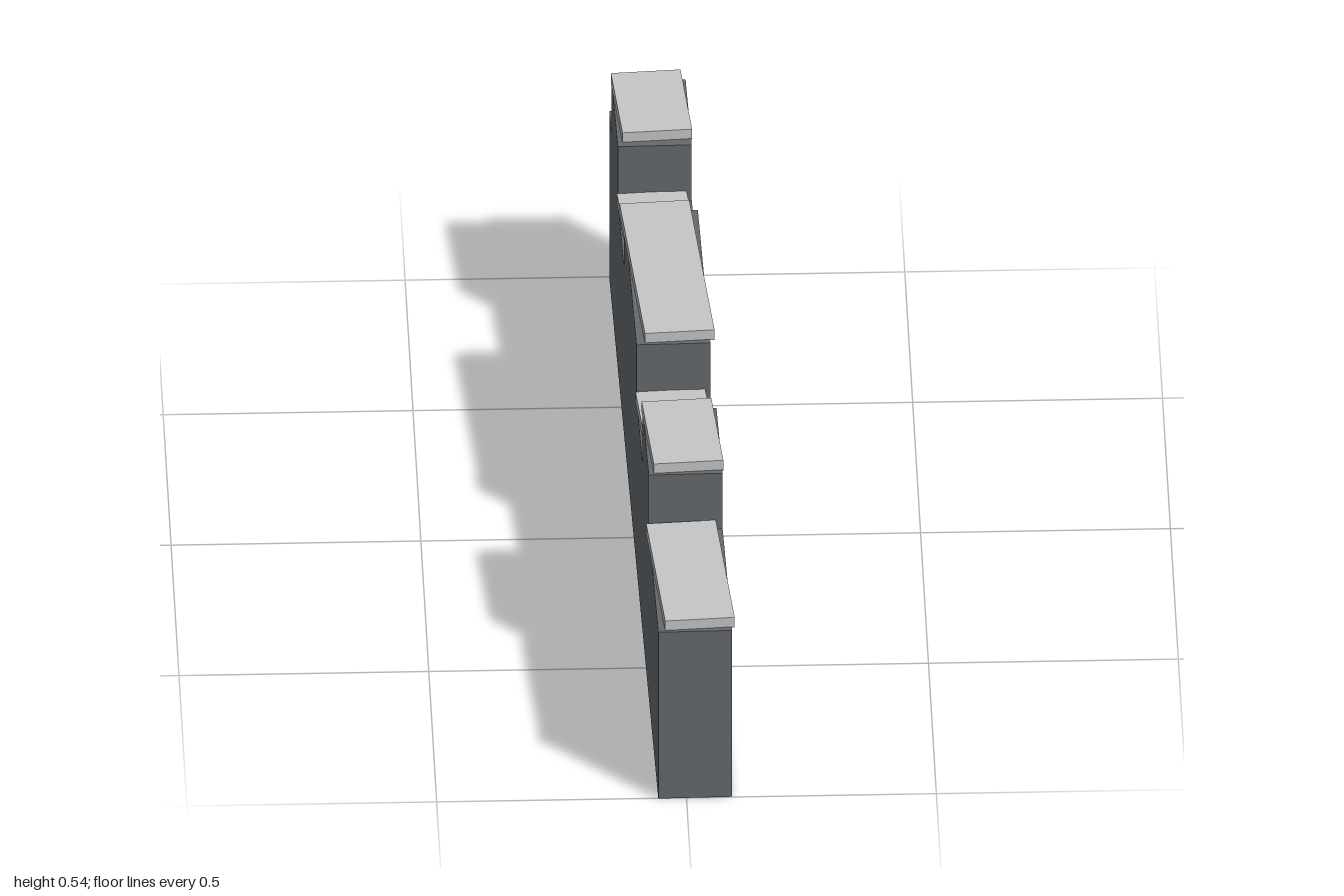
import * as THREE from 'three';

export function createModel() {
  const model = new THREE.Group();
  model.name = 'battlementWall';

  const stone = new THREE.MeshStandardMaterial({ color: 0x656a6e });
  stone.name = 'dark stone';
  const capStone = new THREE.MeshStandardMaterial({ color: 0xc6c6c6 });
  capStone.name = 'pale cap stone';

  const LOW = 0.39, HIGH = 0.52, THICK = 0.148;
  const WALL_TURN = 0.0175, CAP_TURN = 0.07;

  // Wall: stepped side profile (z, y) extruded through its thickness
  const profile = new THREE.Shape();
  profile.moveTo(-1, 0);
  profile.lineTo(1, 0);
  profile.lineTo(1, LOW);
  for (const [front, back] of [[0.61, 0.36], [0.11, -0.4], [-0.65, -0.9]]) {
    profile.lineTo(front, LOW);
    profile.lineTo(front, HIGH);
    profile.lineTo(back, HIGH);
    profile.lineTo(back, LOW);
  }
  profile.lineTo(-1, LOW);
  const wallGeometry = new THREE.ExtrudeGeometry(profile, { depth: THICK, bevelEnabled: false });
  wallGeometry.translate(0, 0, -THICK / 2);
  wallGeometry.rotateY(-Math.PI / 2 + WALL_TURN);
  const wall = new THREE.Mesh(wallGeometry, stone);
  wall.name = 'wall';
  model.add(wall);

  // Cap slabs, each turned slightly against the wall: [front z, back z, base y, name]
  const caps = [
    [0.99, 0.615, LOW, 'frontLedgeCap'],
    [0.6, 0.36, HIGH, 'frontMerlonCap'],
    [0.35, 0.11, LOW, 'frontGapCap'],
    [0.1, -0.4, HIGH, 'middleMerlonCap'],
    [-0.41, -0.65, LOW, 'backGapCap'],
    [-0.67, -0.9, HIGH, 'backMerlonCap'],
  ];
  for (const [front, back, base, name] of caps) {
    const z = (front + back) / 2;
    const cap = new THREE.Mesh(new THREE.BoxGeometry(0.14, 0.024, front - back), capStone);
    cap.name = name;
    cap.position.set(z * WALL_TURN, base + 0.01, z);
    cap.rotation.y = CAP_TURN;
    model.add(cap);
  }

  return model;
}
